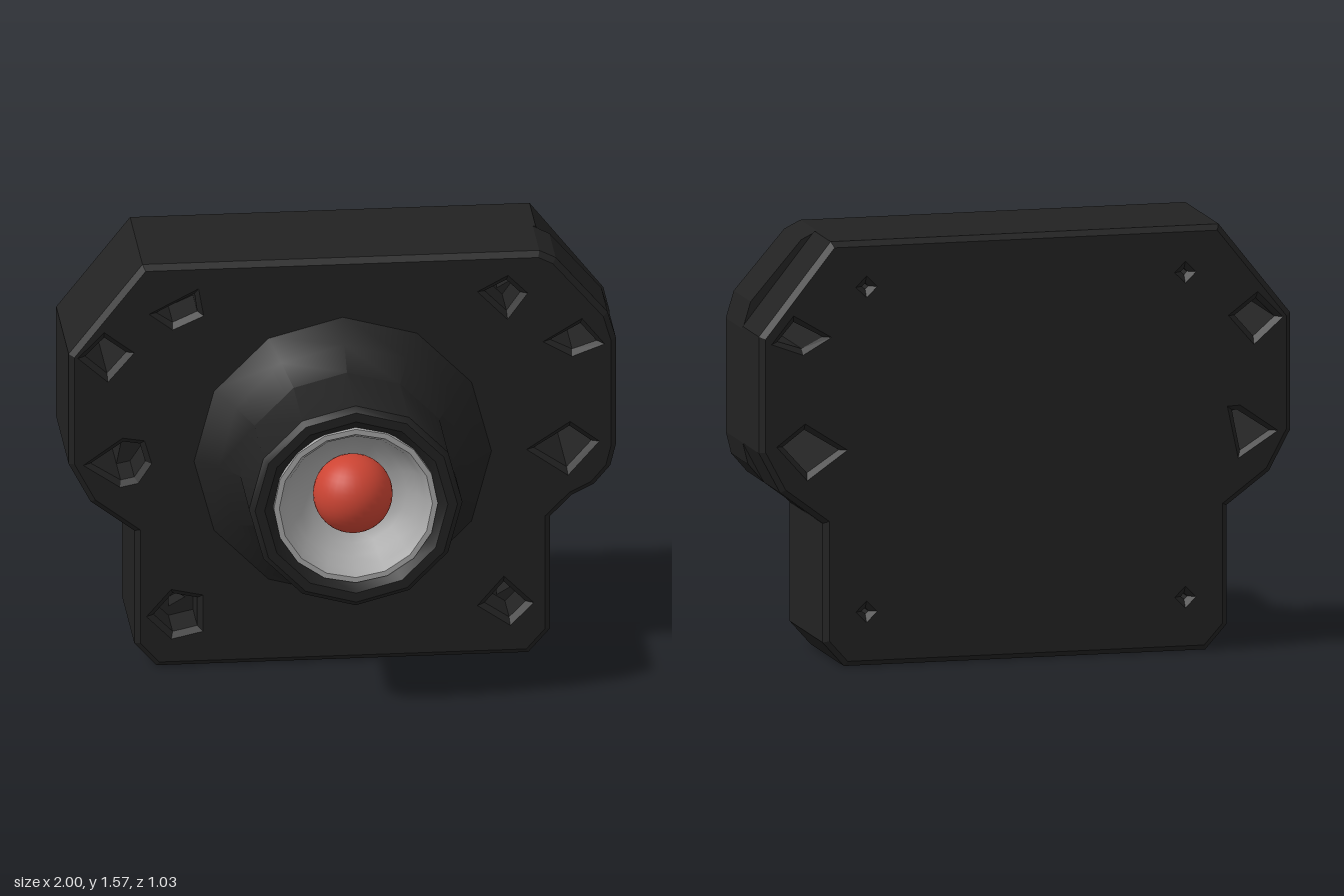
import * as THREE from 'three';
import { toCreasedNormals } from 'three/addons/utils/BufferGeometryUtils.js';

const casing = new THREE.MeshStandardMaterial({ color: 0x222222 });
casing.name = 'black casing';
const silver = new THREE.MeshStandardMaterial({ color: 0xa8a8a8 });
silver.name = 'silver metal';
const red = new THREE.MeshStandardMaterial({ color: 0xcc4433 });
red.name = 'red lens';

const toVectors = (pts) => pts.map(([x, y]) => new THREE.Vector2(x, y));

// Side outlines, bottom to top: plain chamfers, and the rounder front left side
const plainSide = [[0.68, 0], [0.76, 0.09], [0.76, 0.53], [0.92, 0.65], [1, 0.8], [1, 1.23], [0.73, 1.57]];
const roundSide = [[0.68, 0], [0.76, 0.09], [0.76, 0.53], [0.84, 0.61], [0.92, 0.65], [0.98, 0.72],
  [1, 0.8], [1, 1.22], [0.97, 1.32], [0.78, 1.54], [0.72, 1.57]];
const rightSide = plainSide.map(([x, y]) => [-x, y]).reverse();
const portNotch = [[-0.17, 0], [-0.17, 0.08], [0.17, 0.08], [0.17, 0]];

// Angular strap holes that pass through the whole body
const strapHoles = [
  [[-0.94, 1.22], [-0.87, 1.29], [-0.79, 1.23], [-0.86, 1.15]],
  [[0.76, 1.22], [0.87, 1.28], [0.93, 1.21], [0.84, 1.18]],
  [[-0.92, 0.8], [-0.8, 0.88], [-0.78, 0.88], [-0.81, 0.73]],
  [[0.7, 0.8], [0.83, 0.88], [0.91, 0.82], [0.82, 0.72]],
];
const frontStrapHoles = [...strapHoles];
frontStrapHoles[2] = [[-0.92, 0.8], [-0.8, 0.88], [-0.74, 0.87], [-0.72, 0.8], [-0.76, 0.74], [-0.81, 0.73]];

// Screw pockets in the front and small screw holes behind them
const pockets = [
  [[-0.69, 0.2], [-0.62, 0.28], [-0.53, 0.26], [-0.53, 0.15], [-0.62, 0.13]],
  [[0.52, 0.2], [0.59, 0.28], [0.67, 0.2], [0.61, 0.14]],
  [[-0.68, 1.38], [-0.54, 1.45], [-0.53, 1.38], [-0.62, 1.34]],
  [[0.52, 1.42], [0.6, 1.46], [0.65, 1.41], [0.6, 1.34]],
];
const screwSpots = [[-0.6, 0.2], [0.6, 0.2], [-0.6, 1.4], [0.6, 1.4]];
const smallHoles = (sides, r) => screwSpots.map(([x, y]) =>
  Array.from({ length: sides }, (_, i) => {
    const a = (i / sides) * Math.PI * 2;
    return [x + r * Math.cos(a), y + r * Math.sin(a)];
  }));

// One slice of the body between two depths, chamfered if bevel is above zero
function bodyLayer(name, left, notched, holes, z0, z1, bevel) {
  const outline = [...(notched ? portNotch : []), ...left, ...rightSide];
  const shape = new THREE.Shape(toVectors(outline));
  shape.holes = holes.map((h) => new THREE.Path(toVectors(h)));
  const geometry = new THREE.ExtrudeGeometry(shape, {
    depth: z1 - z0 - 2 * bevel,
    bevelEnabled: bevel > 0,
    bevelThickness: bevel,
    bevelSize: bevel,
    bevelOffset: -bevel,
    bevelSegments: 1,
  });
  geometry.translate(0, 0, z0 + bevel);
  const mesh = new THREE.Mesh(geometry, casing);
  mesh.name = name;
  return mesh;
}

// Turned part on the barrel axis; profile points are [radius, z]
function turned(name, profile, sides, material) {
  const lathe = new THREE.LatheGeometry(toVectors(profile), sides);
  lathe.rotateX(Math.PI / 2);
  const mesh = new THREE.Mesh(toCreasedNormals(lathe, 0.7), material);
  mesh.position.y = 0.8;
  mesh.name = name;
  return mesh;
}

export function createModel() {
  const group = new THREE.Group();
  group.name = 'cameraHousing';

  // Body slices; the two middle ones leave the port recess in the underside
  group.add(
    bodyLayer('backShell', plainSide, false, [...strapHoles, ...smallHoles(4, 0.012)], -0.51, -0.31, 0.02),
    bodyLayer('backCore', plainSide, true, strapHoles, -0.33, -0.26, 0),
    bodyLayer('frontCore', roundSide, true, [...strapHoles, ...smallHoles(3, 0.04)], -0.26, -0.18, 0),
    bodyLayer('frontShell', roundSide, false, [...frontStrapHoles, ...pockets], -0.21, 0, 0.02),
  );

  // Flared barrel with a chamfered rim
  group.add(turned('lensBarrel', [
    [0.55, -0.005], [0.46, 0.065], [0.39, 0.16], [0.39, 0.49], [0.37, 0.51], [0.335, 0.51], [0.295, 0.47],
  ], 12, casing));

  // Stepped reflector bowl
  group.add(turned('reflectorBowl', [
    [0.3, 0.45], [0.3, 0.495], [0.28, 0.495], [0.26, 0.46], [0.235, 0.4], [0.2, 0.36], [0.15, 0.32], [0, 0.32],
  ], 16, silver));

  // Domed lens
  const lens = new THREE.Mesh(new THREE.SphereGeometry(0.145, 32, 20), red);
  lens.position.set(0, 0.805, 0.38);
  lens.name = 'lens';
  group.add(lens);

  // Connector inside the bottom recess
  const port = new THREE.Mesh(new THREE.BoxGeometry(0.28, 0.07, 0.06), silver);
  port.position.set(0, 0.055, -0.26);
  port.name = 'port';
  group.add(port);

  return group;
}
